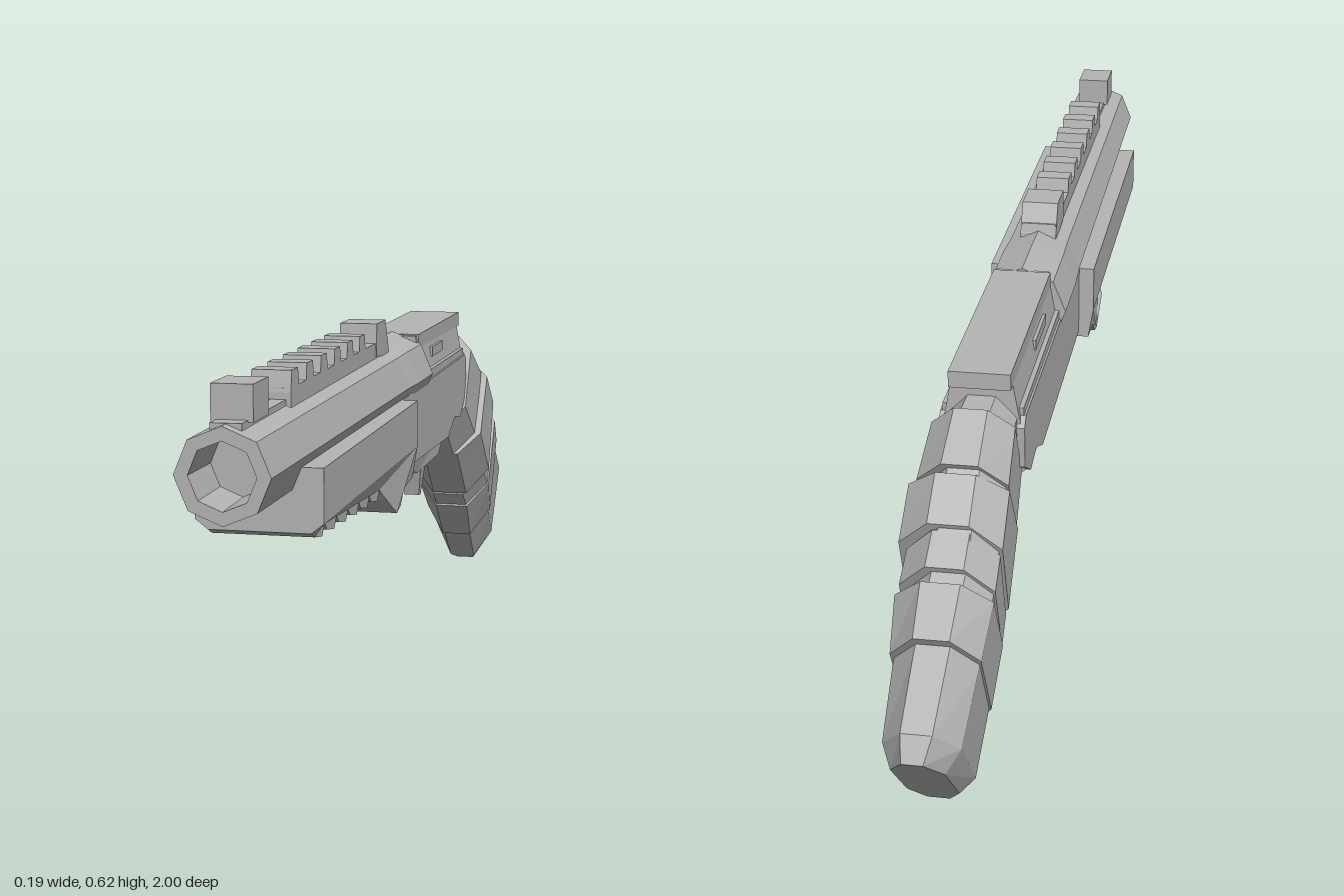
import * as THREE from 'three';

const metal = new THREE.MeshStandardMaterial({ color: 0xb4b4b4, flatShading: true });
metal.name = 'plain grey';

function add(group, name, geometry) {
  const mesh = new THREE.Mesh(geometry, metal);
  mesh.name = name;
  group.add(mesh);
  return mesh;
}

function box(group, name, w, y0, y1, z0, z1, x = 0) {
  const mesh = add(group, name, new THREE.BoxGeometry(w, y1 - y0, z1 - z0));
  mesh.position.set(x, (y0 + y1) / 2, (z0 + z1) / 2);
  return mesh;
}

// Side outline of [z, y] points, extruded across x; halfWidth may depend on y and z.
function slab(points, halfWidth) {
  const shape = new THREE.Shape(points.map(([z, y]) => new THREE.Vector2(z, y)));
  const geometry = new THREE.ExtrudeGeometry(shape, { depth: 2, bevelEnabled: false });
  geometry.rotateY(-Math.PI / 2).translate(1, 0, 0);
  const p = geometry.attributes.position;
  for (let i = 0; i < p.count; i++) {
    p.setX(i, p.getX(i) * (typeof halfWidth === 'function' ? halfWidth(p.getY(i), p.getZ(i)) : halfWidth));
  }
  geometry.computeVertexNormals();
  return geometry;
}

// Chamfered eight-sided sections [topZ, topY, bottomZ, bottomY, xMin, xMax] joined in order.
const OCTAGON = [[0.3, 0], [0.7, 0], [1, 0.2], [1, 0.78], [0.72, 1], [0.28, 1], [0, 0.78], [0, 0.2]];
function loft(sections) {
  const rings = sections.map(([tz, ty, bz, by, x0, x1]) => OCTAGON.map(([u, v]) =>
    new THREE.Vector3(x0 + (x1 - x0) * u, ty + (by - ty) * v, tz + (bz - tz) * v)));
  const faces = [];
  const n = OCTAGON.length;
  for (let s = 0; s < rings.length - 1; s++) {
    for (let i = 0; i < n; i++) {
      const j = (i + 1) % n;
      const [a, b, c, d] = [rings[s][i], rings[s][j], rings[s + 1][j], rings[s + 1][i]];
      faces.push([a, b, c], [a, c, d]);
    }
  }
  const last = rings[rings.length - 1];
  for (let i = 1; i < n - 1; i++) {
    faces.push([rings[0][0], rings[0][i + 1], rings[0][i]], [last[0], last[i], last[i + 1]]);
  }
  // Turn every face outward
  const center = rings[0][0].clone().add(last[4]).multiplyScalar(0.5);
  let volume = 0;
  for (const [a, b, c] of faces) {
    volume += a.clone().sub(center).dot(b.clone().sub(center).cross(c.clone().sub(center)));
  }
  if (volume < 0) faces.forEach((f) => f.reverse());
  const geometry = new THREE.BufferGeometry().setFromPoints(faces.flat());
  geometry.computeVertexNormals();
  return geometry;
}

export function createModel() {
  const model = new THREE.Group();
  model.name = 'shortGun';

  // Eight-sided barrel with open bore and wider rear collar
  const profile = [[0, 0.9], [0.046, 0.9], [0.048, 1], [0.068, 1], [0.07, 0.7], [0.073, 0.1],
    [0.076, 0.03], [0.076, -0.1], [0, -0.1]].map(([r, z]) => new THREE.Vector2(r, z)).reverse();
  const barrel = add(model, 'barrel', new THREE.LatheGeometry(profile, 8));
  barrel.rotation.x = Math.PI / 2;
  barrel.position.y = 0.506;

  // Rail with teeth, rear block and front sight
  add(model, 'rail', slab([[0.75, 0.555], [0.75, 0.592], [0.09, 0.592], [0.08, 0.555]], 0.03));
  for (let i = 0; i < 6; i++) {
    const z = 0.727 - i * 0.0885;
    add(model, 'railTooth', slab([[z + 0.024, 0.585], [z + 0.018, 0.617], [z - 0.018, 0.617], [z - 0.026, 0.585]], 0.03));
  }
  add(model, 'rearSight', slab([[0.185, 0.57], [0.18, 0.625], [0.11, 0.625], [0.085, 0.575], [0.085, 0.56]], 0.032));
  box(model, 'frontSight', 0.06, 0.572, 0.624, 0.872, 0.95);
  box(model, 'frontSightBase', 0.045, 0.55, 0.575, 0.75, 0.98);

  // Forend: straight upper sides, tapered and ridged underside, hooked rear
  box(model, 'forendUpper', 0.19, 0.41, 0.49, 0.14, 0.82);
  const under = [[0.14, 0.41], [0.82, 0.41], [0.82, 0.395]];
  for (let i = 0; i < 6; i++) {
    const z = 0.8 - i * 0.075;
    const y = 0.386 - i * 0.004;
    under.push([z, y], [z - 0.045, y - 0.008], [z - 0.06, y + 0.008]);
  }
  under.push([0.35, 0.355], [0.27, 0.318], [0.24, 0.325], [0.21, 0.35], [0.14, 0.355]);
  add(model, 'forendUnderside', slab(under, (y, z) => (y > 0.405 ? 0.095 : z < 0.36 ? 0.086 : 0.076)));

  // Receiver: upright sides above a chamfered belly
  add(model, 'receiver', slab([[0.145, 0.365], [0.145, 0.49], [-0.49, 0.495], [-0.505, 0.48], [-0.5, 0.41],
    [-0.44, 0.375], [-0.38, 0.385], [-0.31, 0.355], [-0.09, 0.36]], 0.068));
  add(model, 'receiverBelly', slab([[0.145, 0.385], [-0.45, 0.385], [-0.45, 0.37], [-0.37, 0.368],
    [-0.305, 0.322], [-0.09, 0.322], [0.145, 0.355]], (y) => (y > 0.38 ? 0.068 : 0.05)));

  // Top cover with overhanging rear plate and side slots
  add(model, 'topCover', slab([[-0.09, 0.48], [-0.09, 0.575], [-0.5, 0.572], [-0.5, 0.48]],
    (y) => (y > 0.5 ? 0.045 : 0.062)));
  box(model, 'coverPlate', 0.098, 0.55, 0.577, -0.52, -0.1);
  for (const side of [-1, 1]) {
    box(model, 'ejectionPlate', 0.008, 0.525, 0.543, -0.31, -0.2, side * 0.052);
    box(model, 'coverLedge', 0.025, 0.49, 0.508, -0.49, -0.1, side * 0.052);
  }

  // Trigger
  add(model, 'trigger', slab([[-0.26, 0.335], [-0.325, 0.335], [-0.305, 0.24], [-0.287, 0.242]],
    (y) => (y > 0.3 ? 0.025 : 0.014)));

  // Slanted grip
  add(model, 'grip', loft([
    [-0.42, 0.5, -0.4, 0.385, -0.05, 0.05],
    [-0.49, 0.53, -0.43, 0.365, -0.055, 0.055],
    [-0.57, 0.527, -0.47, 0.335, -0.056, 0.06],
    [-0.64, 0.475, -0.56, 0.26, -0.058, 0.065],
    [-0.75, 0.365, -0.65, 0.165, -0.058, 0.07],
    [-0.87, 0.29, -0.735, 0.075, -0.052, 0.075],
    [-0.98, 0.228, -0.8, 0.012, -0.046, 0.07],
    [-1, 0.19, -0.82, 0.003, -0.025, 0.055],
  ]));

  // Overlapping wrap bands, bulging toward the left side
  const bands = [
    [[-0.56, 0.535, -0.455, 0.35, -0.059, 0.072], [-0.645, 0.482, -0.53, 0.275, -0.062, 0.08]],
    [[-0.65, 0.47, -0.52, 0.285, -0.064, 0.092], [-0.71, 0.415, -0.62, 0.185, -0.064, 0.095]],
    [[-0.71, 0.405, -0.63, 0.18, -0.061, 0.082], [-0.76, 0.37, -0.665, 0.145, -0.061, 0.085]],
    [[-0.785, 0.36, -0.655, 0.15, -0.062, 0.088], [-0.865, 0.312, -0.725, 0.075, -0.056, 0.08]],
  ];
  for (const band of bands) add(model, 'gripWrap', loft(band));

  return model;
}
